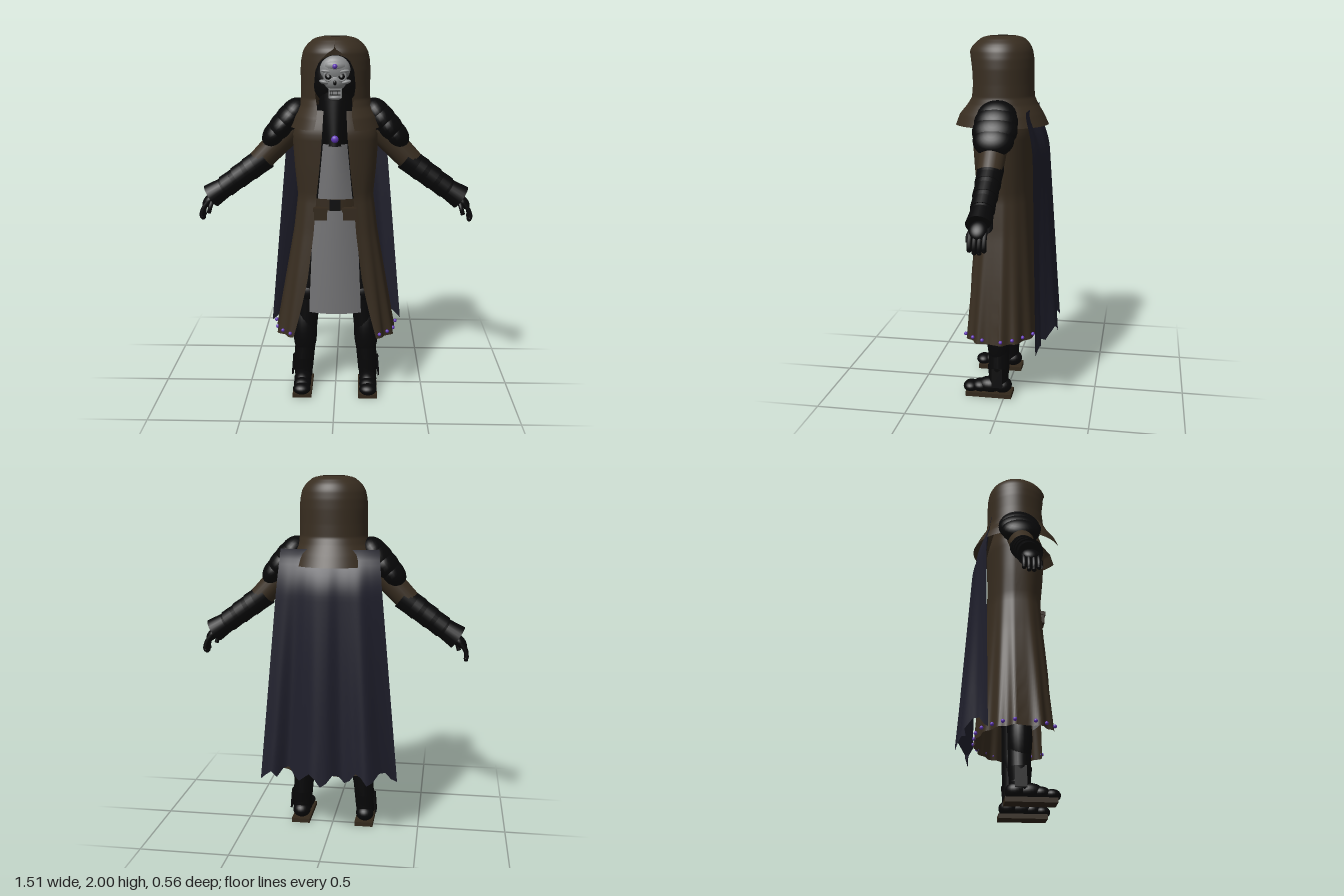
import * as THREE from 'three';
import { ParametricGeometry } from 'three/addons/geometries/ParametricGeometry.js';

const mat = (name, color, double = false) => {
  const m = new THREE.MeshStandardMaterial({ color });
  m.name = name;
  if (double) m.side = THREE.DoubleSide;
  return m;
};

// Linear lookup in a table of rows whose first entry is the key (descending y)
function lookup(rows, y) {
  let i = 0;
  while (i < rows.length - 2 && y < rows[i + 1][0]) i++;
  const a = rows[i], b = rows[i + 1];
  const t = THREE.MathUtils.clamp((a[0] - y) / (a[0] - b[0]), 0, 1);
  return a.map((v, k) => v + (b[k] - v) * t);
}

// Garment split at the front. Rows: y, half width, front depth, back depth, half opening.
// A power below 1 makes the front boxier.
function garment(rows, cz, folds, foldSize, power) {
  const top = rows[0][0], low = rows[rows.length - 1][0];
  return (u, v, out) => {
    const [y, rx, zf, zb, open] = lookup(rows, top + (low - top) * v);
    const o = Math.asin(Math.min(open / rx, 0.99));
    const a = o + u * (2 * Math.PI - 2 * o);
    const k = 1 + foldSize * v * v * Math.cos(folds * a);
    const c = Math.cos(a);
    return out.set(rx * k * Math.sin(a), y, cz + k * (c > 0 ? zf * Math.pow(c, power) : zb * c));
  };
}

function sheet(fn, nu, nv) {
  const g = new ParametricGeometry(fn, nu, nv);
  g.computeVertexNormals();
  return g;
}

export function createModel() {
  const root = new THREE.Group();
  root.name = 'hoodedFigure';
  const brown = mat('brownCloth', 0x382d20, true);
  const black = mat('blackArmor', 0x070708, true);
  const navy = mat('navyCape', 0x1f1f2c, true);
  const grey = mat('greyTabard', 0x727274, true);
  const bone = mat('paleMask', 0x888a8b);
  const purple = mat('purpleGem', 0x6238b8);
  const leather = mat('leather', 0x33281b, true);

  const V = (x, y, z) => new THREE.Vector3(x, y, z);
  function add(name, geo, material, x = 0, y = 0, z = 0) {
    const m = new THREE.Mesh(geo, material);
    m.name = name;
    m.position.set(x, y, z);
    root.add(m);
    return m;
  }
  const ball = (name, m, x, y, z, rx, ry = rx, rz = rx) => {
    const b = add(name, new THREE.SphereGeometry(1, 24, 16), m, x, y, z);
    b.scale.set(rx, ry, rz);
    return b;
  };
  const box = (name, m, x, y, z, w, h, d) => add(name, new THREE.BoxGeometry(w, h, d), m, x, y, z);
  function rod(name, m, a, b, ra, rb, open = false) {
    const d = b.clone().sub(a);
    const r = add(name, new THREE.CylinderGeometry(rb, ra, d.length(), 24, 1, open), m);
    r.position.copy(a).add(b).multiplyScalar(0.5);
    r.quaternion.setFromUnitVectors(V(0, 1, 0), d.normalize());
    return r;
  }
  const tube = (name, m, pts, r, n = 10) =>
    add(name, new THREE.TubeGeometry(new THREE.CatmullRomCurve3(pts), n, r, 10), m);

  // Hood, open at the crown, flowing into a shoulder mantle
  const hood = garment([
    [2.0, 0.065, 0.065, 0.065, 0], [1.997, 0.09, 0.09, 0.09, 0], [1.985, 0.118, 0.118, 0.118, 0],
    [1.96, 0.148, 0.148, 0.143, 0], [1.94, 0.163, 0.167, 0.155, 0.004], [1.92, 0.173, 0.176, 0.162, 0.035],
    [1.88, 0.182, 0.176, 0.168, 0.078], [1.83, 0.186, 0.176, 0.17, 0.1], [1.75, 0.185, 0.176, 0.17, 0.108],
    [1.68, 0.186, 0.178, 0.172, 0.098], [1.64, 0.198, 0.2, 0.19, 0.09], [1.59, 0.228, 0.24, 0.22, 0.092],
    [1.53, 0.25, 0.265, 0.25, 0.105]], 0.04, 8, 0, 1);
  add('hood', sheet(hood, 72, 60), brown);

  // Long coat with soft folds
  const coat = garment([
    [1.62, 0.19, 0.145, 0.12, 0.06], [1.5, 0.235, 0.183, 0.15, 0.066], [1.3, 0.222, 0.17, 0.145, 0.083],
    [1.15, 0.208, 0.158, 0.145, 0.1], [0.95, 0.232, 0.172, 0.16, 0.116], [0.7, 0.275, 0.196, 0.18, 0.15],
    [0.36, 0.332, 0.225, 0.205, 0.228]], 0.02, 15, 0.03, 0.6);
  add('coat', sheet(coat, 120, 40), brown);
  for (let i = 0; i < 17; i++) {
    const p = coat(0.012 + (i / 16) * 0.976, 0.98, V(0, 0, 0));
    const out = V(p.x, 0, p.z - 0.02).setLength(0.009);
    ball('hemGem', purple, p.x + out.x, p.y, p.z + out.z, 0.01);
  }

  // Wavy cape with a torn hem, tucked under the mantle
  const hemZ = [-0.14, -0.19, -0.265, -0.245, -0.225, -0.275, -0.28, -0.23, -0.18, -0.22, -0.2];
  const wave = new THREE.SplineCurve(hemZ.map((z, i) => new THREE.Vector2(i, z)));
  const tear = [0, 0.02, 0.065, 0.07, 0.03, 0.015, 0.06, 0.075, 0.03, 0.01, 0.05, 0.06, 0.02,
    0.0, 0.045, 0.07, 0.04, 0.01, 0.03, 0.075, 0.065, 0.02, 0.055, 0.03, 0];
  const cape = (u, v, out) => {
    const s = u * 2 - 1, f = u * (tear.length - 1), i = Math.min(Math.floor(f), tear.length - 2);
    const rip = tear[i] + (tear[i + 1] - tear[i]) * (f - i);
    const y = 1.62 - v * 1.29 + rip * Math.max(0, (v - 0.8) / 0.2);
    const ramp = Math.sin(THREE.MathUtils.clamp((v - 0.03) * 6, 0, 1) * Math.PI / 2);
    const z0 = -0.125 - (0.072 - 0.04 * s * s) * ramp;
    return out.set(s * (0.265 + 0.118 * v), y, THREE.MathUtils.lerp(z0, wave.getPoint(u).y, v));
  };
  add('cape', sheet(cape, 96, 48), navy);

  // Body under the coat
  const torso = add('torso', new THREE.CylinderGeometry(0.125, 0.125, 0.68, 32), black, 0, 1.29, 0.02);
  torso.scale.z = 0.85;
  rod('neck', black, V(0, 1.4, 0.04), V(0, 1.72, 0.04), 0.1, 0.085);
  const scarf = (u, v, out) => {
    const a = (u - 0.5) * 2, w = 0.088 - 0.022 * v;
    return out.set(a * w, 1.67 - 0.24 * v, 0.15 + 0.015 * v - 0.05 * a * a);
  };
  add('scarf', sheet(scarf, 16, 8), black);
  ball('chestGem', purple, 0, 1.47, 0.168, 0.02, 0.02, 0.014);

  // Tabard in two panels, belt, buckle and pouches
  const panel = (y0, y1, w0, w1, z0, z1) => (u, v, out) => {
    const a = u * 2 - 1;
    return out.set(a * (w0 + (w1 - w0) * v), y0 + (y1 - y0) * v, z0 + (z1 - z0) * v - 0.03 * a * a);
  };
  add('upperTabard', sheet(panel(1.44, 1.1, 0.065, 0.098, 0.16, 0.155), 16, 6), grey);
  add('lowerTabard', sheet(panel(1.1, 0.49, 0.118, 0.145, 0.158, 0.175), 16, 8), grey);
  add('belt', sheet(panel(1.145, 1.083, 0.122, 0.122, 0.17, 0.17), 16, 2), leather);
  box('buckle', black, 0, 1.113, 0.168, 0.06, 0.06, 0.02);
  for (const s of [-1, 1]) {
    box('pouch', leather, s * 0.078, 1.065, 0.165, 0.07, 0.065, 0.045);
    box('pouchFlap', leather, s * 0.078, 1.09, 0.168, 0.076, 0.022, 0.05);
  }

  // Dark cowl and skull mask
  ball('innerCowl', black, 0, 1.765, 0.015, 0.125, 0.135, 0.118);
  ball('cranium', bone, 0, 1.832, 0.12, 0.08, 0.072, 0.044);
  ball('face', bone, 0, 1.775, 0.1, 0.064, 0.06, 0.062);
  ball('forehead', bone, 0, 1.85, 0.118, 0.07, 0.038, 0.05);
  box('jaw', bone, 0, 1.71, 0.125, 0.07, 0.05, 0.055);
  ball('chin', bone, 0, 1.687, 0.135, 0.036, 0.014, 0.026);
  for (const y of [1.722, 1.702]) box('mouthLine', black, 0, y, 0.153, 0.058, 0.004, 0.004);
  for (let i = -2; i <= 2; i++) box('toothGap', black, i * 0.012, 1.712, 0.153, 0.002, 0.024, 0.003);
  ball('nose', black, 0, 1.765, 0.16, 0.009, 0.013, 0.007);
  for (const s of [-1, 1]) {
    ball('eyeSocket', black, s * 0.034, 1.797, 0.149, 0.02, 0.017, 0.013);
    add('eyeRim', new THREE.TorusGeometry(0.022, 0.005, 8, 20), bone, s * 0.034, 1.797, 0.154);
    ball('eye', bone, s * 0.034, 1.797, 0.159, 0.007, 0.007, 0.006);
    ball('brow', bone, s * 0.04, 1.824, 0.148, 0.036, 0.009, 0.014).rotation.z = s * 0.1;
    ball('cheekbone', bone, s * 0.054, 1.767, 0.132, 0.03, 0.012, 0.022).rotation.z = s * 0.2;
  }
  ball('foreheadGem', purple, 0, 1.85, 0.168, 0.013);

  // Arms and legs on both sides
  for (const s of [-1, 1]) {
    const P = (x, y, z = 0.035) => V(s * x, y, z);

    // Layered shoulder armour
    [[0.225, 1.596, 0.088, 0.068, 0.105], [0.25, 1.565, 0.1, 0.073, 0.116], [0.287, 1.525, 0.1, 0.07, 0.119],
      [0.325, 1.482, 0.09, 0.064, 0.108]].forEach(([x, y, a, b, c]) => {
      ball('shoulderPlate', black, s * x, y, 0.033, a, b, c).rotation.z = -s * 0.88;
    });
    rod('sleeve', brown, P(0.23, 1.52), P(0.43, 1.315), 0.075, 0.064);

    // Smooth forearm guard with shallow bands and a flared cuff
    rod('forearmGuard', black, P(0.382, 1.351), P(0.67, 1.14), 0.068, 0.055);
    for (let i = 0; i < 3; i++) {
      const t = i / 3, x = 0.43 + 0.2 * t, y = 1.316 - 0.146 * t;
      rod('forearmBand', black, P(x, y), P(x + 0.045, y - 0.033), 0.065 - 0.007 * t, 0.067 - 0.007 * t);
    }
    rod('cuffFlare', black, P(0.6, 1.19), P(0.692, 1.13), 0.054, 0.068, true);

    // Hand with curled fingers
    const palm = ball('palm', black, s * 0.702, 1.108, 0.038, 0.052, 0.028, 0.047);
    palm.rotation.z = -s * 0.85;
    for (let i = 0; i < 4; i++) {
      const z = 0.002 + i * 0.024, e = i === 0 || i === 3 ? 0.012 : 0;
      tube('finger', black, [P(0.705, 1.105, z), P(0.733, 1.066, z), P(0.743, 1.03, z), P(0.74, 1.008 + e, z)], 0.012);
      ball('fingertip', black, s * 0.74, 1.008 + e, z, 0.012);
    }
    tube('thumb', black, [P(0.68, 1.11, 0.07), P(0.69, 1.08, 0.088), P(0.7, 1.045, 0.088)], 0.012);

    // Leg armour
    rod('thigh', black, P(0.115, 0.98, 0.03), P(0.148, 0.58, 0.035), 0.085, 0.068);
    rod('shin', black, P(0.148, 0.62, 0.035), P(0.188, 0.1, 0.035), 0.066, 0.055);
    ball('kneePad', black, s * 0.15, 0.585, 0.06, 0.062, 0.065, 0.05);
    ball('calf', black, s * 0.176, 0.34, 0.038, 0.069, 0.18, 0.064);

    // Boot with flared cuff, toe caps and a flat sole
    rod('bootCuff', black, P(0.188, 0.065), P(0.188, 0.18), 0.05, 0.062, true);
    const fin = box('bootFin', black, s * 0.246, 0.125, 0.035, 0.01, 0.11, 0.06);
    fin.rotation.z = s * 0.08;
    ball('heel', black, s * 0.188, 0.062, 0.015, 0.052, 0.045, 0.055);
    ball('instep', black, s * 0.188, 0.06, 0.085, 0.05, 0.045, 0.07);
    ball('midFoot', black, s * 0.188, 0.052, 0.14, 0.05, 0.036, 0.05);
    ball('toeCap', black, s * 0.188, 0.045, 0.195, 0.05, 0.032, 0.044);
    box('sole', leather, s * 0.186, 0.0125, 0.088, 0.106, 0.025, 0.262);
  }
  return root;
}
